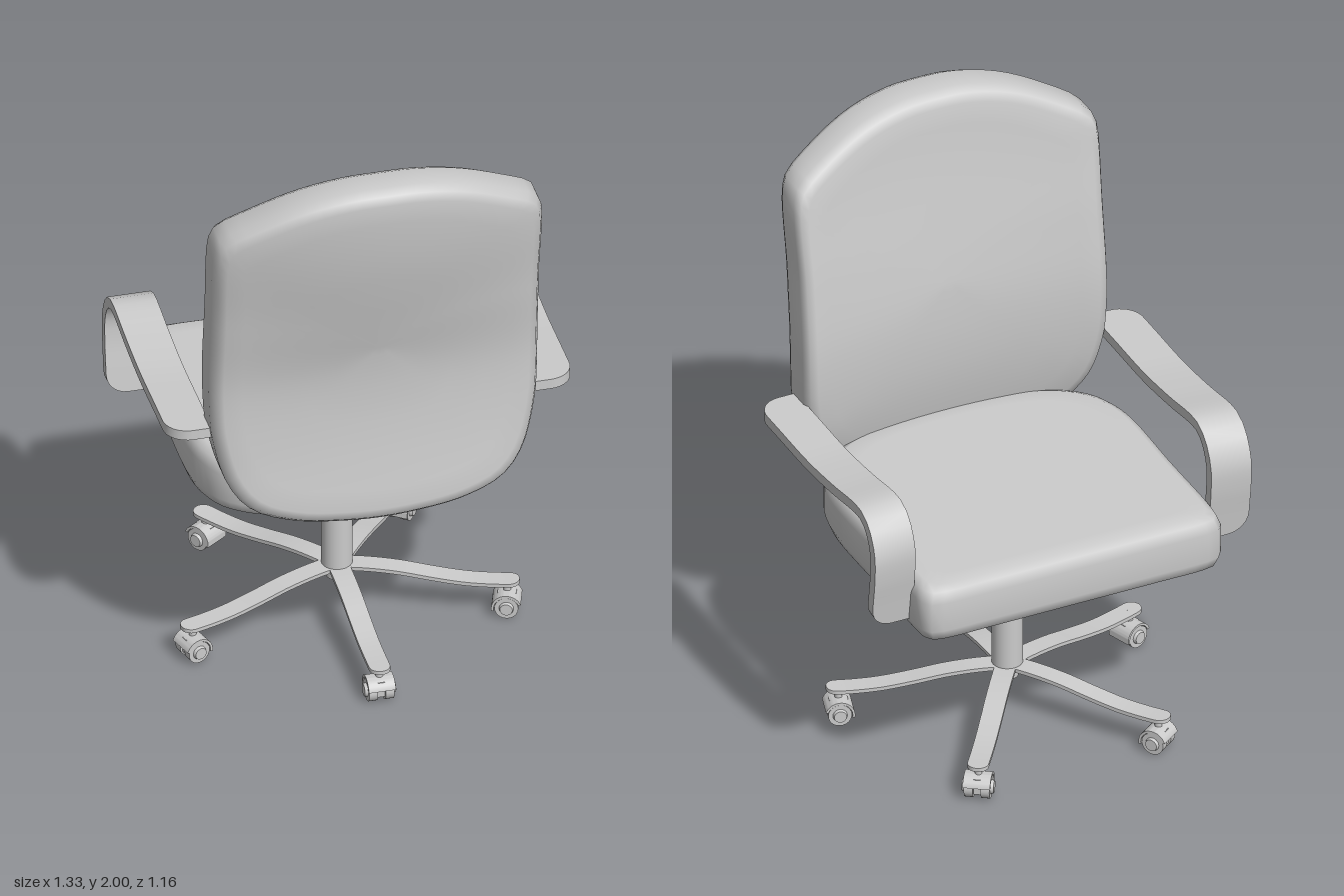
import * as THREE from 'three';
import { toCreasedNormals } from 'three/addons/utils/BufferGeometryUtils.js';

const material = new THREE.MeshStandardMaterial({ color: 0xcccccc });

function addMesh(parent, geometry, name, x = 0, y = 0, z = 0) {
  const mesh = new THREE.Mesh(geometry, material);
  mesh.name = name;
  mesh.position.set(x, y, z);
  parent.add(mesh);
  return mesh;
}

// Closed skin over a list of equal-sized rings of points, fanned shut at both ends
function loft(rings) {
  const n = rings[0].length;
  const points = rings.flat();
  const index = [];
  for (let r = 0; r < rings.length - 1; r++) {
    for (let i = 0; i < n; i++) {
      const a = r * n + i, b = r * n + (i + 1) % n;
      index.push(a, b, a + n, b, b + n, a + n);
    }
  }
  [0, rings.length - 1].forEach((r, end) => {
    const centre = new THREE.Vector3();
    rings[r].forEach((p) => centre.addScaledVector(p, 1 / n));
    const c = points.push(centre) - 1;
    for (let i = 0; i < n; i++) {
      const a = r * n + i, b = r * n + (i + 1) % n;
      if (end) index.push(a, b, c); else index.push(b, a, c);
    }
  });
  // Turn the faces outward
  let volume = 0;
  for (let i = 0; i < index.length; i += 3) {
    const [a, b, c] = [0, 1, 2].map((k) => points[index[i + k]]);
    volume += a.dot(b.clone().cross(c));
  }
  if (volume < 0) index.reverse();
  const geometry = new THREE.BufferGeometry().setFromPoints(points);
  geometry.setIndex(index);
  geometry.computeVertexNormals();
  return geometry;
}

// Cushion with rounded rim: half outline is mirrored, place(u, v, depth) bends it
function cushion(half, centreV, place) {
  const mirrored = half.slice(1, -1).reverse().map(([u, v]) => [-u, v]);
  const curve = new THREE.CatmullRomCurve3(
    [...half, ...mirrored].map(([u, v]) => new THREE.Vector3(u, v, 0)), true);
  const outline = curve.getSpacedPoints(96).slice(0, -1);
  const rim = [
    [0.05, 0], [0.25, 0], [0.45, 0], [0.65, 0], [0.82, 0], [0.93, 0], [0.975, 0.07], [1, 0.25],
    [1, 0.75], [0.975, 0.93], [0.93, 1], [0.82, 1], [0.65, 1], [0.45, 1], [0.25, 1], [0.05, 1],
  ];
  return loft(rim.map(([s, d]) =>
    outline.map((p) => place(p.x * s, centreV + (p.y - centreV) * s, d))));
}

// Flat strip following a path of [z, y]; edges(fromStart, fromEnd) gives its two x limits
function ribbon(path, thickness, edges) {
  const curve = new THREE.SplineCurve(path.map(([z, y]) => new THREE.Vector2(z, y)));
  const length = curve.getLength();
  const rings = [];
  for (let i = 0; i <= 44; i++) {
    const u = (1 - Math.cos(Math.PI * i / 44)) / 2;
    const p = curve.getPointAt(u), t = curve.getTangentAt(u);
    const dz = -t.y * thickness / 2, dy = t.x * thickness / 2;
    const [x0, x1] = edges(u * length, (1 - u) * length);
    rings.push([[x0, 1], [x1, 1], [x1, -1], [x0, -1]].map(([x, s]) =>
      new THREE.Vector3(x, p.y + s * dy, p.x + s * dz)));
  }
  return toCreasedNormals(loft(rings), 0.6);
}

// How far a rounded corner of radius r cuts in at distance d from the end
const cornerCut = (d, r) => (d >= r ? 0 : r - Math.sqrt(r * r - (r - d) ** 2));

function createCaster() {
  const caster = new THREE.Group();
  caster.name = 'caster';
  addMesh(caster, new THREE.CylinderGeometry(0.012, 0.012, 0.06, 12), 'casterStem', 0, 0.095, 0);
  for (const s of [-1, 1]) {
    const wheel = new THREE.CylinderGeometry(0.038, 0.038, 0.028, 24).rotateZ(Math.PI / 2);
    addMesh(caster, wheel, 'casterWheel', s * 0.027, 0.038, 0);
    const hub = new THREE.CylinderGeometry(0.02, 0.024, 0.012, 20).rotateZ(-s * Math.PI / 2);
    addMesh(caster, hub, 'casterHub', s * 0.045, 0.038, 0);
  }
  // Hood arching over the wheels
  const arch = new THREE.Shape();
  arch.absarc(0, 0, 0.048, -0.2, Math.PI * 0.9, false);
  arch.absarc(0, 0, 0.04, Math.PI * 0.9, -0.2, true);
  const hood = new THREE.ExtrudeGeometry(arch, { depth: 0.088, bevelEnabled: false, curveSegments: 16 });
  hood.translate(0, 0, -0.044).rotateY(Math.PI / 2);
  addMesh(caster, toCreasedNormals(hood, 0.6), 'casterHood', 0, 0.038, 0);
  addMesh(caster, new THREE.BoxGeometry(0.022, 0.055, 0.06), 'casterFork', 0, 0.05, 0);
  return caster;
}

export function createModel() {
  const chair = new THREE.Group();
  chair.name = 'officeChair';

  // Seat cushion, slightly lower at its free edge
  const seatOutline = [
    [0, -0.578], [0.3, -0.578], [0.48, -0.575], [0.52, -0.56], [0.53, -0.51], [0.53, -0.2],
    [0.53, 0.1], [0.51, 0.19], [0.47, 0.27], [0.38, 0.34], [0.25, 0.38], [0, 0.4],
  ];
  addMesh(chair, cushion(seatOutline, -0.09, (x, z, d) => new THREE.Vector3(
    x, THREE.MathUtils.lerp(0.852 + 0.02 * z, 0.657 + 0.032 * z, d), z)), 'seat');

  // Backrest, with lumbar curve and wrapped sides
  const backOutline = [
    [0, 2], [0.12, 1.995], [0.27, 1.96], [0.42, 1.89], [0.515, 1.83], [0.533, 1.79], [0.535, 1.5],
    [0.535, 1.15], [0.525, 1.02], [0.48, 0.86], [0.41, 0.775], [0.28, 0.725], [0.12, 0.705], [0, 0.7],
  ];
  const profile = (values) => new THREE.SplineCurve(
    values.map((z, i) => new THREE.Vector2(z, 0.7 + 0.26 * i)));
  const frontFace = profile([0.39, 0.335, 0.32, 0.345, 0.385, 0.41]);
  const rearFace = profile([0.5, 0.465, 0.455, 0.505, 0.56, 0.58]);
  addMesh(chair, cushion(backOutline, 1.35, (x, y, d) => {
    const t = THREE.MathUtils.clamp((y - 0.7) / 1.3, 0, 1);
    const front = frontFace.getPoint(t).x - 0.25 * x * x;
    const rear = rearFace.getPoint(t).x - (0.1 + 0.2 * THREE.MathUtils.smoothstep(y, 1.1, 1.8)) * x * x;
    return new THREE.Vector3(x, y, THREE.MathUtils.lerp(front, rear, d));
  }), 'backrest');

  // Armrests: one bent strip each side, outer corners rounded
  const armPath = [
    [0.37, 1.043], [0.2, 1.04], [0, 1.037], [-0.18, 1.05], [-0.35, 1.07], [-0.42, 1.045],
    [-0.463, 0.97], [-0.465, 0.88], [-0.452, 0.78], [-0.44, 0.69],
  ];
  for (const side of [-1, 1]) {
    addMesh(chair, ribbon(armPath, 0.035, (a, b) => [
      side * 0.522, side * (0.664 - cornerCut(a, 0.08) - cornerCut(b, 0.07)),
    ]), side > 0 ? 'leftArmrest' : 'rightArmrest');
  }

  // Column and seat mount
  const base = new THREE.Group();
  base.name = 'base';
  base.position.z = -0.083;
  chair.add(base);
  addMesh(base, new THREE.CylinderGeometry(0.05, 0.05, 0.42, 32), 'column', 0, 0.37, 0);
  addMesh(base, new THREE.CylinderGeometry(0.036, 0.036, 0.06, 24), 'columnFoot', 0, 0.15, 0);
  addMesh(base, new THREE.CylinderGeometry(0.114, 0.114, 0.085, 32), 'seatMount', 0, 0.622, 0);
  addMesh(base, new THREE.CylinderGeometry(0.114, 0.085, 0.026, 32), 'seatMountTaper', 0, 0.567, 0);

  // Five curved legs with casters
  const legPath = [[0, 0.163], [0.1, 0.162], [0.2, 0.153], [0.3, 0.136], [0.4, 0.122], [0.49, 0.118], [0.58, 0.12]];
  for (let i = 0; i < 5; i++) {
    const spoke = new THREE.Group();
    spoke.name = 'spoke';
    spoke.rotation.y = i * Math.PI * 2 / 5;
    addMesh(spoke, ribbon(legPath, 0.013, (a, b) => {
      const w = 0.034 - cornerCut(b, 0.0335);
      return [-w, w];
    }), 'leg');
    const caster = createCaster();
    caster.position.z = 0.54;
    spoke.add(caster);
    base.add(spoke);
  }
  return chair;
}
